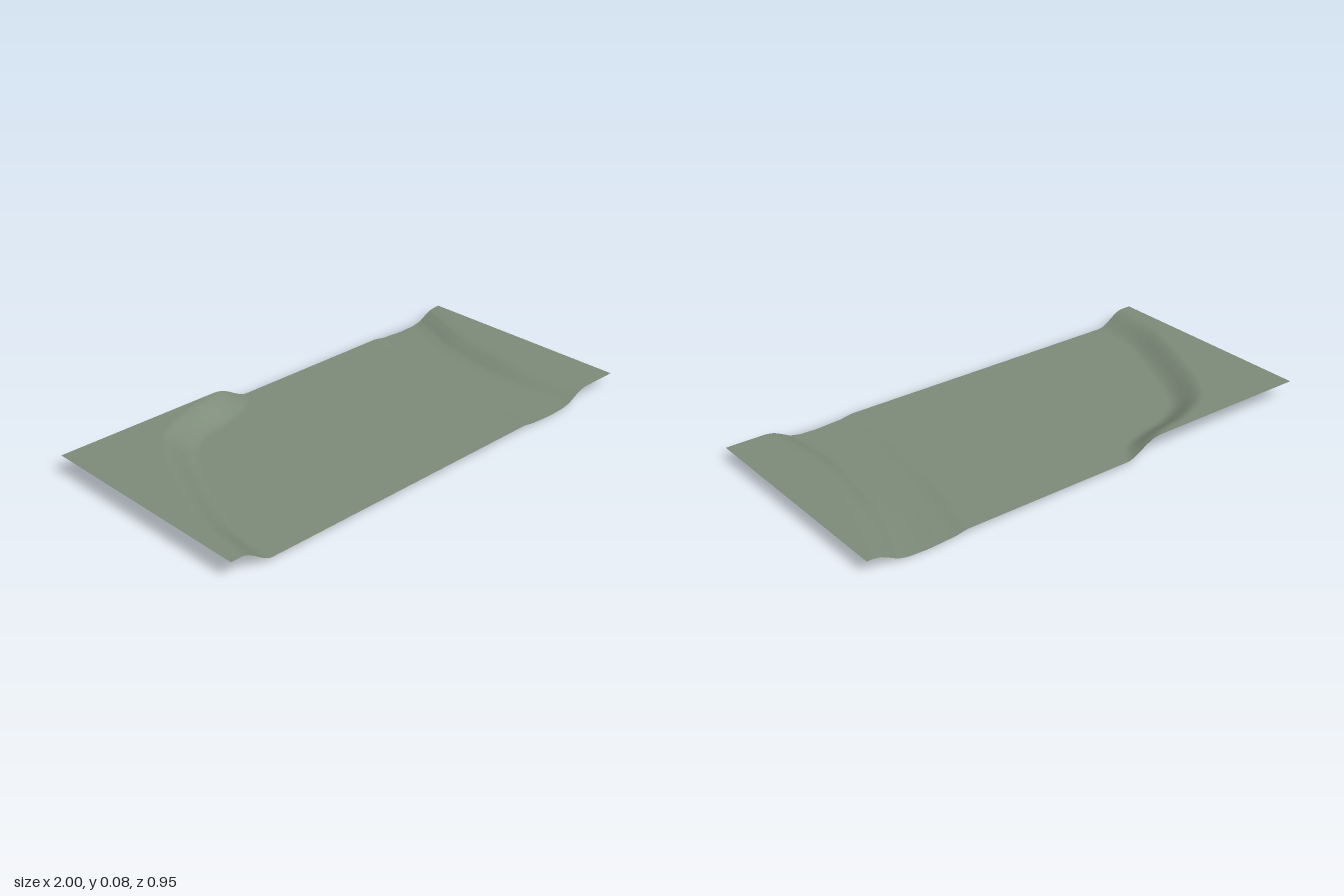
import * as THREE from 'three';

const HALF_X = 1, HALF_Z = 0.475;
const GROUND = 0.015, PLATEAU = 0.076;

// Piecewise linear lookup through [input, output] pairs
function lerpTable(table, v) {
  if (v <= table[0][0]) return table[0][1];
  for (let i = 1; i < table.length; i++) {
    const [a, b] = [table[i - 1], table[i]];
    if (v <= b[0]) return a[1] + (b[1] - a[1]) * (v - a[0]) / (b[0] - a[0]);
  }
  return table[table.length - 1][1];
}

// Smooth curve in plan through [x, z] pairs
function planCurve(points) {
  return new THREE.CatmullRomCurve3(points.map(([x, z]) => new THREE.Vector3(x, 0, z)));
}

// Middle of the high bank on the left of the plan
const bank = planCurve([
  [-0.89, 0.6], [-0.888, 0.45], [-0.865, 0.25], [-0.77, 0], [-0.67, -0.2], [-0.59, -0.305],
  [-0.45, -0.375], [-0.32, -0.402], [-0.24, -0.435], [-0.195, -0.49], [-0.17, -0.56],
]);
const bankPoints = bank.getSpacedPoints(240);

// Toe of the low bank beside the channel, and the channel's other edge, as x by z
const toeTable = planCurve([
  [0.88, -0.475], [0.83, -0.35], [0.775, -0.2], [0.735, 0], [0.715, 0.15], [0.716, 0.3], [0.735, 0.475],
]).getSpacedPoints(80).map((p) => [p.z, p.x]);
const channelTable = planCurve([
  [0.6, -0.475], [0.55, -0.3], [0.5, -0.1], [0.475, 0.1], [0.46, 0.3], [0.46, 0.475],
]).getSpacedPoints(80).map((p) => [p.z, p.x]);

// Signed distance to the high bank, positive on the plateau
function plateauSide(x, z) {
  let best = Infinity, index = 1;
  for (let i = 1; i < bankPoints.length - 1; i++) {
    const d = (x - bankPoints[i].x) ** 2 + (z - bankPoints[i].z) ** 2;
    if (d < best) { best = d; index = i; }
  }
  const p = bankPoints[index];
  const t = bankPoints[index + 1].clone().sub(bankPoints[index - 1]);
  const side = (x - p.x) * t.z - (z - p.z) * t.x;
  return Math.sign(side) * Math.sqrt(best);
}

function heightAt(x, z) {
  if (x < 0.3) {
    const k = THREE.MathUtils.smoothstep(plateauSide(x, z), -0.066, 0.066);
    return GROUND + (PLATEAU - GROUND) * k;
  }
  const toe = lerpTable(toeTable, z), edge = lerpTable(channelTable, z);
  if (x > toe) {
    return lerpTable([[0, 0.012], [0.035, 0.031], [0.065, 0.045], [0.1, 0.051]], x - toe);
  }
  // Shallow channel bed
  return lerpTable([
    [edge, GROUND], [edge + 0.05, 0.006], [(edge + toe) / 2 + 0.02, 0], [toe - 0.04, 0.003], [toe, 0.012],
  ], x);
}

// Slides columns so that one of them runs along the toe of the low bank
function warpColumn(x, z) {
  return lerpTable([[-1, -1], [0.35, 0.35], [0.75, lerpTable(toeTable, z)], [1, 1]], x);
}

export function createModel() {
  const model = new THREE.Group();
  model.name = 'landscape';

  // Ground sheet with plateau, flat field, channel and low bank
  const geometry = new THREE.PlaneGeometry(2 * HALF_X, 2 * HALF_Z, 160, 76).rotateX(-Math.PI / 2);
  const pos = geometry.attributes.position;
  for (let i = 0; i < pos.count; i++) {
    const z = pos.getZ(i);
    const x = warpColumn(pos.getX(i), z);
    pos.setXYZ(i, x, heightAt(x, z), z);
  }
  geometry.computeVertexNormals();

  const material = new THREE.MeshStandardMaterial({ color: 0x7d8b79, side: THREE.DoubleSide });
  const terrain = new THREE.Mesh(geometry, material);
  terrain.name = 'terrain';
  model.add(terrain);
  return model;
}
